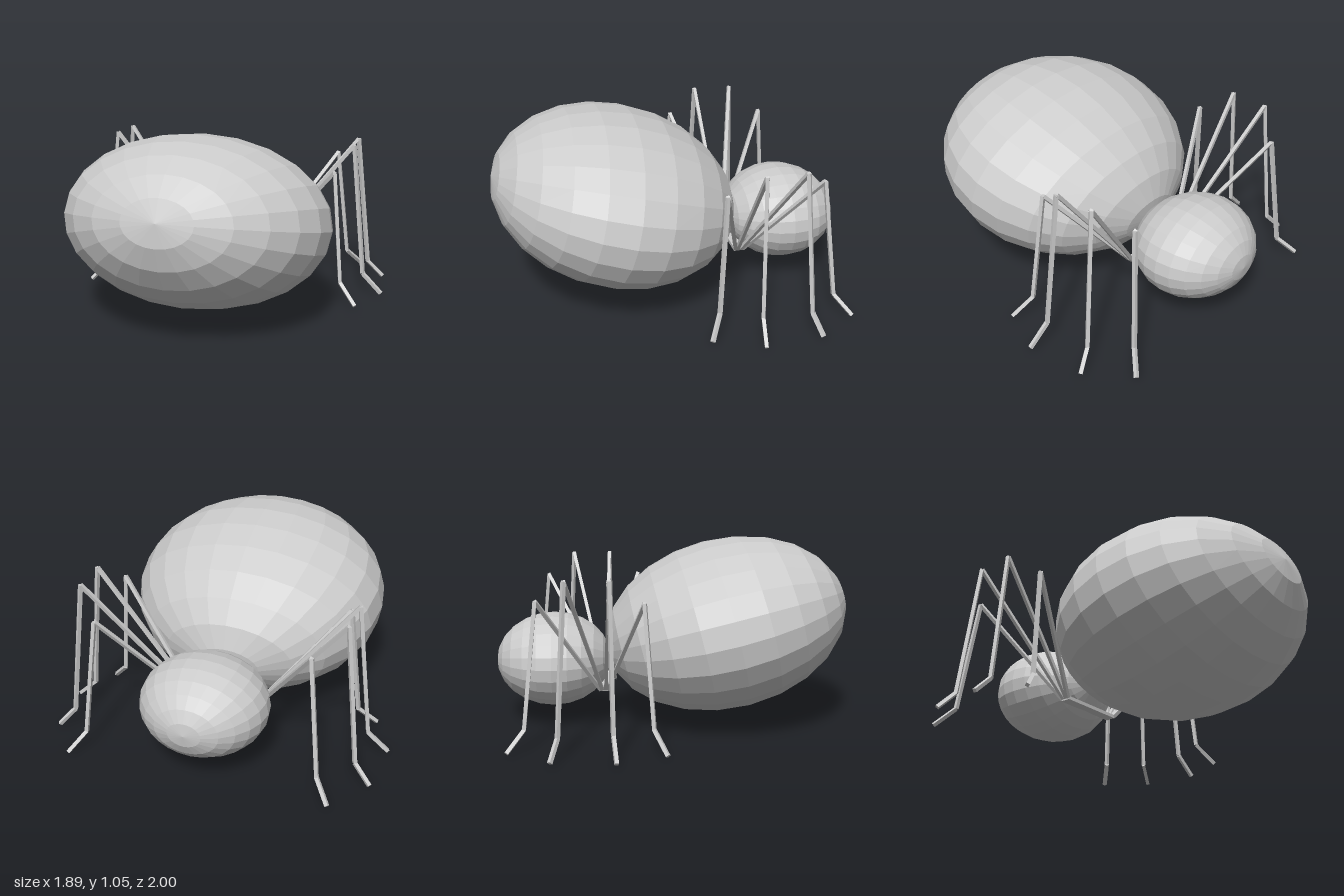
import * as THREE from 'three';

const bodyGray = new THREE.MeshStandardMaterial({ color: 0xcccccc, flatShading: true });
bodyGray.name = 'body gray';

// Faceted ellipsoid with its poles along z, tilted nose up
function ellipsoid(name, radii, position, tilt) {
  const geometry = new THREE.SphereGeometry(1, 24, 12);
  geometry.rotateX(Math.PI / 2);
  geometry.scale(...radii);
  geometry.rotateX(-tilt);
  const mesh = new THREE.Mesh(geometry, bodyGray);
  mesh.name = name;
  mesh.position.set(...position);
  return mesh;
}

// Thin square rod between two points
function rod(name, from, to, width) {
  const axis = to.clone().sub(from);
  const mesh = new THREE.Mesh(new THREE.BoxGeometry(width, axis.length(), width), bodyGray);
  mesh.name = name;
  mesh.position.copy(from).add(to).multiplyScalar(0.5);
  mesh.quaternion.setFromUnitVectors(new THREE.Vector3(0, 1, 0), axis.normalize());
  return mesh;
}

// Hip, knee, ankle and toe of each leg on the +x side
const legs = [
  [[0.2, 0.21, -0.41], [0.585, 0.77, -0.735], [0.65, 0.11, -0.80], [0.73, 0.01, -0.885]],
  [[0.2, 0.21, -0.40], [0.73, 0.89, -0.58], [0.81, 0.11, -0.62], [0.90, 0.01, -0.655]],
  [[0.2, 0.21, -0.38], [0.74, 0.89, -0.355], [0.82, 0.12, -0.34], [0.935, 0.01, -0.325]],
  [[0.2, 0.21, -0.37], [0.66, 0.765, -0.175], [0.72, 0.12, -0.13], [0.82, 0.01, -0.065]],
];

export function createModel() {
  const model = new THREE.Group();
  model.name = 'spider';

  // Body
  model.add(ellipsoid('abdomen', [0.74, 0.48, 0.7], [0, 0.554, 0.31], 0.245));
  model.add(ellipsoid('head', [0.352, 0.265, 0.325], [0, 0.353, -0.675], 0));

  // Crossbar joining the hips
  const bar = new THREE.Mesh(new THREE.BoxGeometry(0.4, 0.02, 0.06), bodyGray);
  bar.name = 'hipBar';
  bar.position.set(0, 0.21, -0.39);
  model.add(bar);

  // Four jointed legs on each side
  for (const side of [1, -1]) {
    legs.forEach((joints, i) => {
      const leg = new THREE.Group();
      leg.name = `${side > 0 ? 'left' : 'right'}Leg${i + 1}`;
      const points = joints.map(([x, y, z]) => new THREE.Vector3(side * x, y, z));
      ['thigh', 'shin', 'foot'].forEach((part, j) => leg.add(rod(part, points[j], points[j + 1], 0.02)));
      model.add(leg);
    });
  }
  return model;
}
